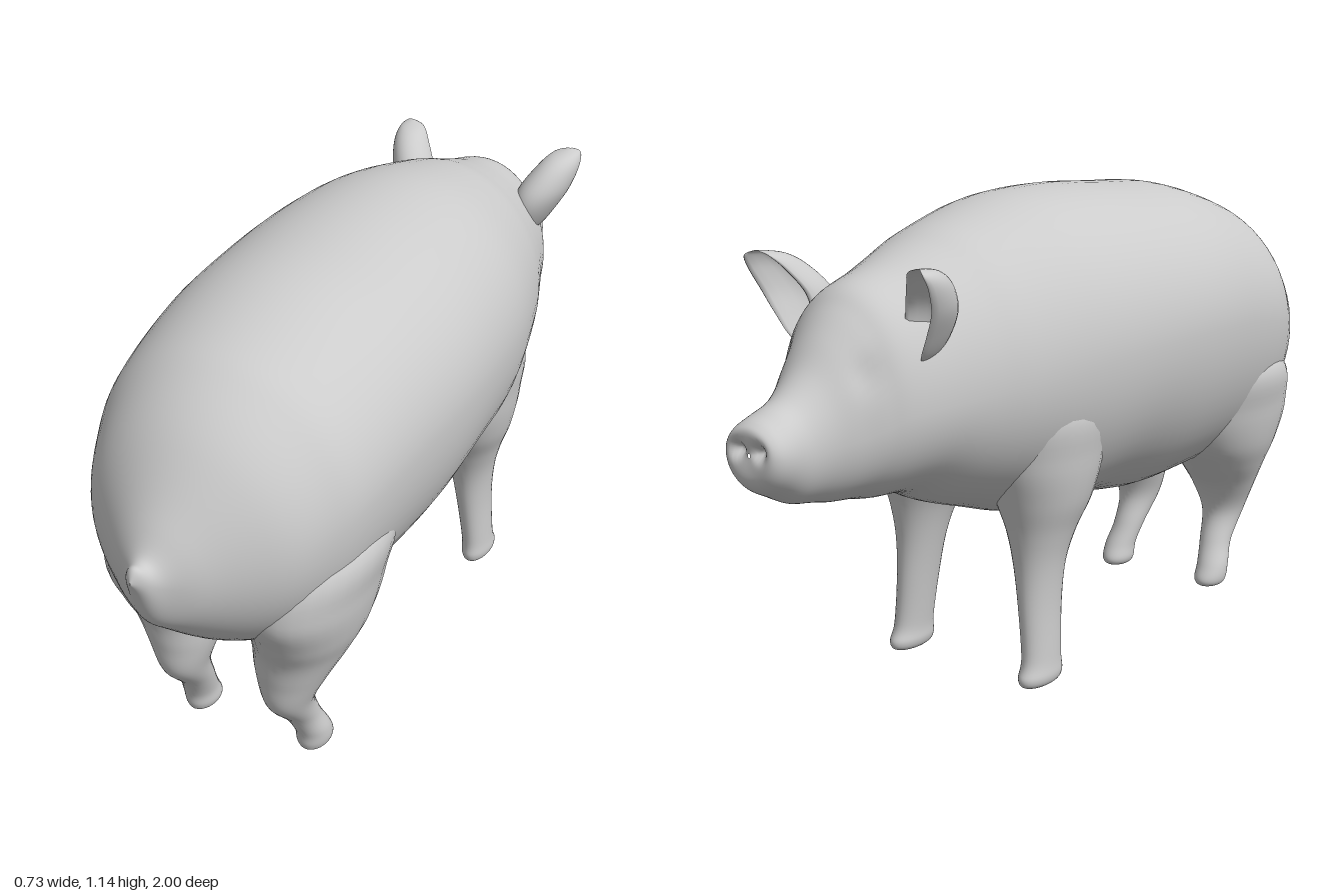
import * as THREE from 'three';

const material = new THREE.MeshStandardMaterial({ color: 0xcccccc, roughness: 0.8 });

// Smoothly interpolates rows of section parameters and skins the closed rings they describe.
function loft(name, rows, ring, segments = 32, steps = 6) {
  const pos = [], index = [];
  const last = (rows.length - 1) * steps;
  for (let i = 0; i <= last; i++) {
    const k = Math.min(Math.floor(i / steps), rows.length - 2);
    const t = i / steps - k;
    const row = (n) => rows[THREE.MathUtils.clamp(n, 0, rows.length - 1)];
    const p = rows[0].map((_, c) => {
      const [a, b, d, e] = [row(k - 1)[c], row(k)[c], row(k + 1)[c], row(k + 2)[c]];
      return b + 0.5 * t * (d - a + t * (2 * a - 5 * b + 4 * d - e + t * (3 * (b - d) + e - a)));
    });
    for (let j = 0; j < segments; j++) {
      const angle = (j / segments) * Math.PI * 2;
      pos.push(...ring(p, Math.cos(angle), Math.sin(angle)));
    }
  }
  for (let i = 0; i < last; i++) {
    for (let j = 0; j < segments; j++) {
      const j2 = (j + 1) % segments;
      const a = i * segments + j, b = i * segments + j2;
      const c = b + segments, d = a + segments;
      index.push(a, d, c, a, c, b);
    }
  }
  const geometry = new THREE.BufferGeometry();
  geometry.setAttribute('position', new THREE.Float32BufferAttribute(pos, 3));
  geometry.setIndex(index);
  geometry.computeVertexNormals();
  const mesh = new THREE.Mesh(geometry, material);
  mesh.name = name;
  return mesh;
}

// Tail, trunk, head and snout: z, top, bottom, half width, height of the widest point
const bodyRows = [
  [1.0, 0.712, 0.708, 0.001, 0.71],
  [0.985, 0.738, 0.675, 0.02, 0.705],
  [0.95, 0.742, 0.585, 0.05, 0.68],
  [0.9, 0.81, 0.53, 0.12, 0.67],
  [0.8, 0.94, 0.44, 0.235, 0.69],
  [0.7, 1.02, 0.375, 0.292, 0.72],
  [0.6, 1.065, 0.345, 0.326, 0.75],
  [0.4, 1.115, 0.338, 0.352, 0.78],
  [0.2, 1.13, 0.34, 0.365, 0.79],
  [0.0, 1.14, 0.37, 0.36, 0.79],
  [-0.2, 1.13, 0.375, 0.338, 0.78],
  [-0.4, 1.085, 0.435, 0.288, 0.76],
  [-0.5, 1.05, 0.47, 0.255, 0.75],
  [-0.6, 1.015, 0.515, 0.22, 0.74],
  [-0.7, 0.985, 0.525, 0.187, 0.73],
  [-0.75, 0.945, 0.535, 0.16, 0.71],
  [-0.8, 0.89, 0.54, 0.127, 0.69],
  [-0.85, 0.825, 0.55, 0.098, 0.68],
  [-0.9, 0.782, 0.56, 0.083, 0.67],
  [-0.95, 0.76, 0.585, 0.082, 0.675],
  [-0.985, 0.745, 0.605, 0.074, 0.68],
  [-1.0, 0.727, 0.632, 0.052, 0.682],
  [-0.995, 0.685, 0.675, 0.003, 0.682],
];

// Strength of a soft dent centred on a mirrored pair of points
function dent(x, y, z, centre, radius) {
  const d = Math.hypot(Math.abs(x) - centre[0], y - centre[1], z - centre[2]) / radius;
  return Math.exp(-d * d);
}

function bodyRing([z, top, bottom, width, mid], c, s) {
  const x = c * width;
  const y = mid + s * (s > 0 ? top - mid : mid - bottom);
  const eye = dent(x, y, z, [0.11, 0.82, -0.77], 0.035);
  const nostril = dent(x, y, z, [0.03, 0.69, -0.995], 0.016);
  return [x * (1 - 0.1 * eye), y, z + 0.025 * nostril];
}

// Legs, from hoof to the part inside the trunk: y, centre x, centre z, half width x, half width z
const rearLegRows = [
  [0.002, 0.153, 0.55, 0.001, 0.001],
  [0.004, 0.153, 0.55, 0.028, 0.04],
  [0.022, 0.153, 0.55, 0.04, 0.052],
  [0.06, 0.153, 0.562, 0.041, 0.046],
  [0.12, 0.143, 0.592, 0.042, 0.046],
  [0.2, 0.139, 0.636, 0.055, 0.066],
  [0.28, 0.144, 0.625, 0.085, 0.09],
  [0.35, 0.155, 0.597, 0.11, 0.128],
  [0.42, 0.168, 0.58, 0.127, 0.175],
  [0.52, 0.175, 0.57, 0.14, 0.22],
  [0.64, 0.18, 0.54, 0.14, 0.2],
  [0.76, 0.18, 0.5, 0.01, 0.01],
];
const frontLegRows = [
  [0.012, 0.198, -0.3, 0.001, 0.001],
  [0.015, 0.198, -0.3, 0.026, 0.055],
  [0.035, 0.198, -0.3, 0.038, 0.07],
  [0.08, 0.196, -0.293, 0.037, 0.06],
  [0.2, 0.186, -0.285, 0.043, 0.063],
  [0.3, 0.18, -0.278, 0.056, 0.07],
  [0.38, 0.178, -0.268, 0.077, 0.09],
  [0.46, 0.175, -0.255, 0.108, 0.125],
  [0.56, 0.175, -0.25, 0.125, 0.155],
  [0.68, 0.18, -0.25, 0.12, 0.15],
  [0.78, 0.18, -0.25, 0.01, 0.01],
];
const legRing = (side) => ([y, x, z, rx, rz], c, s) => [side * x + rx * c, y, z + rz * s];

// Ears: same layout, with the front side hollowed out
const earRows = [
  [0.82, 0.155, -0.65, 0.002, 0.002],
  [0.85, 0.16, -0.655, 0.03, 0.055],
  [0.9, 0.173, -0.655, 0.05, 0.078],
  [0.95, 0.19, -0.665, 0.059, 0.08],
  [1.0, 0.211, -0.695, 0.05, 0.07],
  [1.03, 0.222, -0.722, 0.033, 0.05],
  [1.041, 0.229, -0.737, 0.002, 0.003],
];
const earRing = (side) => ([y, x, z, rx, rz], c, s) => {
  const hollow = s < 0 ? 1.5 * s ** 4 : 0;
  // the outer rim sweeps forward
  const sweep = -0.35 * rx * c * side;
  return [side * x + rx * c, y, z + rz * (s + hollow) + sweep];
};

export function createModel() {
  const model = new THREE.Group();
  model.name = 'pig';
  model.add(loft('body', bodyRows, bodyRing, 64));
  for (const [label, side] of [['left', 1], ['right', -1]]) {
    model.add(
      loft(`${label}RearLeg`, rearLegRows, legRing(side)),
      loft(`${label}FrontLeg`, frontLegRows, legRing(side)),
      loft(`${label}Ear`, earRows, earRing(side)),
    );
  }
  return model;
}
